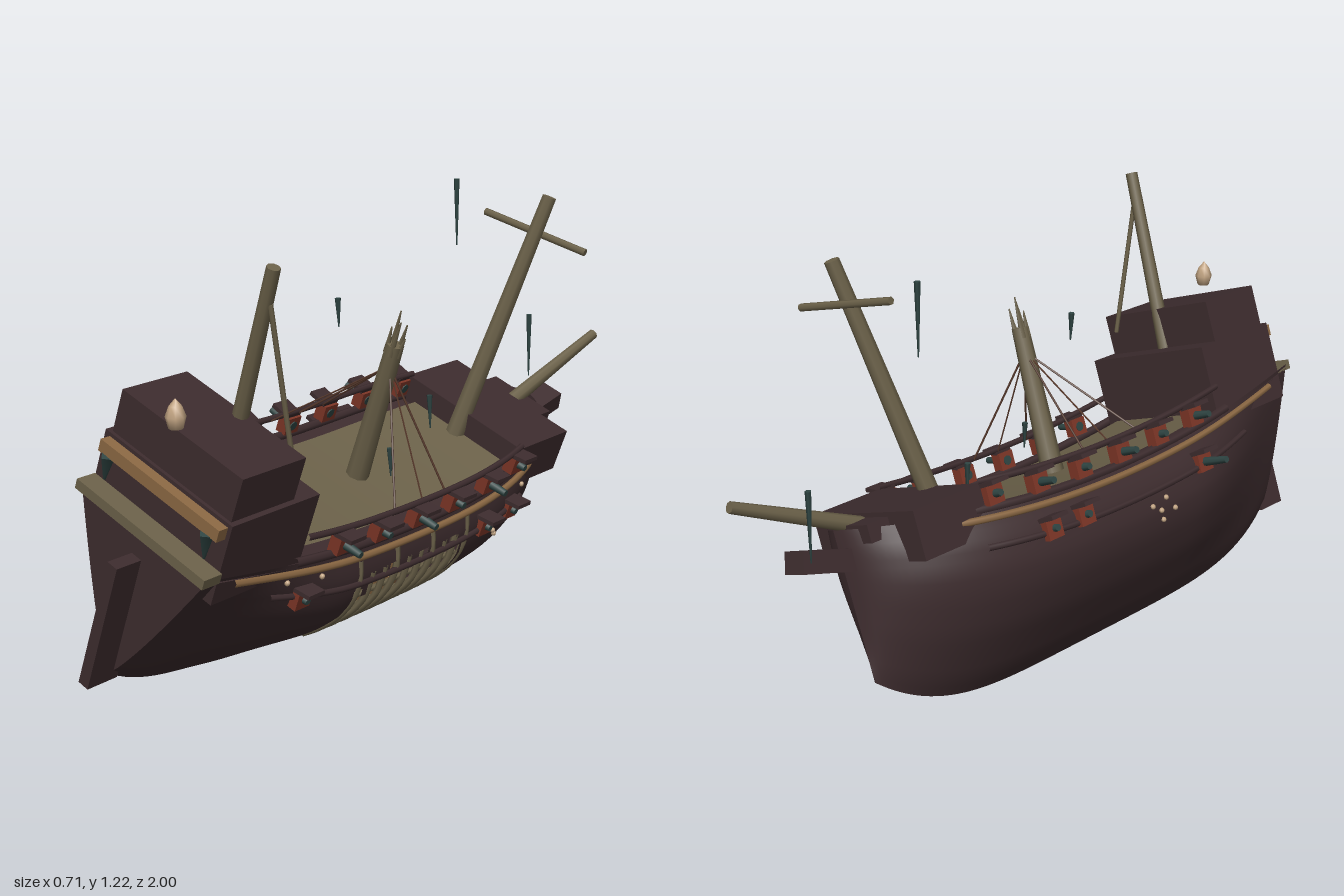
import * as THREE from 'three';

const mat = (name, color, extra = {}) => Object.assign(new THREE.MeshStandardMaterial({ color, ...extra }), { name });

export function createModel() {
  const dark = mat('dark hull wood', 0x3d2c2e);
  const hullMat = mat('dark hull planking', 0x3d2c2e, { side: THREE.DoubleSide });
  const olive = mat('weathered wood', 0x6b6149, { side: THREE.DoubleSide });
  const tan = mat('tan trim wood', 0x8b6843);
  const red = mat('red gunport', 0x7c3526);
  const teal = mat('tarnished bronze', 0x2f4543);
  const cream = mat('pale shell', 0xc4a684);
  const ropeMat = mat('rope', 0x5a3b2d);

  const root = new THREE.Group();
  root.name = 'wreckedShip';
  // the ship lies heeled over on its keel
  const ship = new THREE.Group();
  ship.name = 'heeledShip';
  ship.position.set(-0.145, 0, 0);
  ship.rotation.z = -0.35;
  root.add(ship);

  const V = (x, y, z) => new THREE.Vector3(x, y, z);
  function add(name, geo, material, parent = ship) {
    const m = new THREE.Mesh(geo, material);
    m.name = name;
    parent.add(m);
    return m;
  }
  function box(name, material, x, y, z, w, h, d, parent = ship) {
    const m = add(name, new THREE.BoxGeometry(w, h, d), material, parent);
    m.position.set(x, y, z);
    return m;
  }
  // tapered pole between two points
  function pole(name, material, a, b, r0, r1, sides = 8, parent = ship) {
    const dir = b.clone().sub(a);
    const m = add(name, new THREE.CylinderGeometry(r1, r0, dir.length(), sides), material, parent);
    m.position.copy(a).addScaledVector(dir, 0.5);
    m.quaternion.setFromUnitVectors(V(0, 1, 0), dir.normalize());
    return m;
  }
  // surface from rows of points; skip(i, j) leaves cells open
  function grid(rows, flip = false, skip = () => false) {
    const n = rows[0].length, idx = [];
    for (let i = 0; i < rows.length - 1; i++) for (let j = 0; j < n - 1; j++) {
      if (skip(i, j)) continue;
      const a = i * n + j, b = a + n, c = a + 1, d = b + 1;
      if (flip) idx.push(a, c, b, b, c, d);
      else idx.push(a, b, c, b, d, c);
    }
    const g = new THREE.BufferGeometry().setFromPoints(rows.flat());
    g.setIndex(idx);
    g.computeVertexNormals();
    return g;
  }

  // hull lines: keel height, sheer height and half breadth
  const zBow = -0.71, zStern = 0.92;
  const keel = z => z < 0 ? 0.16 * (z / zBow) ** 4 : 0.128 * (z / zStern) ** 5;
  const sheer = z => 0.5 + 0.08 * ((z - 0.1) / 0.8) ** 2;
  const profile = [[0, 0], [0.1, 0.065], [0.28, 0.156], [0.36, 0.195], [0.47, 0.235],
    [0.56, 0.263], [0.68, 0.285], [0.84, 0.283], [1, 0.25]];
  function midHalf(s) {
    let k = 1;
    while (k < profile.length - 1 && s > profile[k][0]) k++;
    const [a, b] = [profile[k - 1], profile[k]];
    return a[1] + (b[1] - a[1]) * (s - a[0]) / (b[0] - a[0]);
  }
  function half(z, s) {
    const e = THREE.MathUtils.smoothstep(z, 0.35, zStern);
    const d = Math.min(1, Math.max(0, (0.05 - z) / 0.76));
    return (midHalf(s) * (1 - e) + 0.235 * s ** 0.85 * e) * (1 - d ** 3) ** 0.6;
  }
  const onHull = (side, z, v, out = 0) => {
    const s = THREE.MathUtils.clamp((v - keel(z)) / (sheer(z) - keel(z)), 0, 1);
    return V(side * (half(z, s) + out), v, z);
  };

  // hull shell, with a ragged breach on the left side
  const NZ = 56, NV = 20, zs = [];
  for (let i = 0; i <= NZ; i++) zs.push(zBow + (zStern - zBow) * (i / NZ) ** 1.35);
  for (const side of [1, -1]) {
    const rows = zs.map(z => Array.from({ length: NV + 1 }, (_, j) => {
      const s = j / NV;
      return V(side * half(z, s), keel(z) + s * (sheer(z) - keel(z)), z);
    }));
    const breach = (i, j) => side > 0 && zs[i] > -0.13 && zs[i] < 0.35 &&
      j >= 8 - (i % 3 === 0 ? 1 : 0) && j < 16 + (i % 4 === 0 ? 1 : 0) - (zs[i] > 0.28 ? 2 : 0);
    add(side > 0 ? 'hullLeft' : 'hullRight', grid(rows, side > 0, breach), hullMat);
  }
  // transom
  const transom = Array.from({ length: 13 }, (_, j) => {
    const s = j / 12, y = keel(zStern) + s * (sheer(zStern) - keel(zStern));
    return [V(-half(zStern, s), y, zStern), V(half(zStern, s), y, zStern)];
  });
  add('transom', grid(transom, true), hullMat);

  // decks: dark waterway below, pale planking inset above
  const deckRows = (list, k, dy) => list.map(z => [-1, 1].map(q => V(q * k * half(z, 1), sheer(z) + dy, z)));
  add('waterway', grid(deckRows(zs, 1, -0.012), true), hullMat);
  const deckZ = Array.from({ length: 17 }, (_, i) => -0.38 + i * 0.059);
  add('mainDeck', grid(deckRows(deckZ, 0.77, 0.002), true), olive);

  // lengthwise rails and wales on both sides
  for (const side of [1, -1]) {
    const strake = (name, material, z0, z1, f, r) => {
      const pts = Array.from({ length: 18 }, (_, i) => f(z0 + (z1 - z0) * i / 17));
      add(name, new THREE.TubeGeometry(new THREE.CatmullRomCurve3(pts), 40, r, 6), material);
    };
    strake('tanWale', tan, -0.56, 0.82, z => onHull(side, z, sheer(z) - 0.025, 0.006), 0.01);
    strake('lowerWale', dark, -0.42, 0.66, z => onHull(side, z, sheer(z) - 0.1, 0.003), 0.009);
    strake('gunwale', dark, -0.6, 0.6, z => onHull(side, z, sheer(z), -0.004), 0.013);
    strake('capRail', dark, -0.38, 0.58, z => V(side * (half(z, 1) - 0.005), sheer(z) + 0.075, z), 0.009);
  }

  // gunports with lid and barrel
  function gunport(side, z, v, barrel) {
    const g = new THREE.Group();
    g.name = 'gunport';
    g.position.copy(onHull(side, z, v));
    g.scale.x = 1;
    ship.add(g);
    box('portBlock', red, 0, 0, 0, 0.035, 0.052, 0.055, g);
    const lid = box('portLid', dark, side * 0.02, 0.034, 0, 0.06, 0.012, 0.06, g);
    lid.rotation.z = side * 0.15;
    if (barrel) pole('cannon', teal, V(-side * 0.02, 0, 0), V(side * barrel, 0.004, 0), 0.015, 0.01, 8, g);
  }
  [0.44, 0.28, 0.12, -0.04, -0.2, -0.35].forEach((z, i) => {
    for (const side of [1, -1]) gunport(side, z, sheer(z) + 0.035, i % 2 ? 0.04 : 0.07);
  });
  for (const z of [0.56, -0.2, -0.35]) gunport(1, z, 0.42, 0.03);
  for (const z of [0.4, -0.1, -0.22]) gunport(-1, z, 0.42, z > 0 ? 0.1 : 0.03);

  // exposed ribs and spilled cargo in the breach
  for (let i = 0; i < 10; i++) {
    const z = -0.12 + i * 0.052, pts = [];
    for (let k = 0; k <= 6; k++) pts.push(onHull(1, z, 0.15 + k * (i % 3 ? 0.046 : 0.053), -0.003));
    add('rib', new THREE.TubeGeometry(new THREE.CatmullRomCurve3(pts), 12, 0.01, 5), olive);
  }
  for (const [z, y, t] of [[0.02, 0.23, 0.3], [0.12, 0.2, -0.2], [0.22, 0.24, 0.15], [0.0, 0.3, -0.3]]) {
    box('cargo', tan, 0.14, y, z, 0.08, 0.07, 0.07).rotation.set(t, t, 0);
  }
  for (const v of [0.26, 0.34]) pole('stringer', olive, onHull(1, -0.12, v, -0.02), onHull(1, 0.34, v, -0.02), 0.008, 0.008, 5);

  // stern castle with beams and brackets
  box('sternCastleLower', dark, 0, 0.61, 0.725, 0.46, 0.235, 0.31);
  box('sternCastleUpper', dark, 0, 0.785, 0.76, 0.43, 0.13, 0.22);
  box('sternBeam', olive, 0.003, 0.58, 0.91, 0.47, 0.028, 0.06);
  box('sternTrim', tan, 0.003, 0.7, 0.895, 0.43, 0.034, 0.03);
  for (const x of [-0.18, 0.18]) pole('sternBracket', teal, V(x * 1.02, 0.61, 0.895), V(x, 0.685, 0.905), 0.004, 0.022, 4);
  box('rudder', dark, 0, 0.31, 0.95, 0.035, 0.38, 0.1);

  // bow castle, beak and bowsprit
  box('bowCastle', dark, 0, 0.53, -0.49, 0.445, 0.135, 0.24);
  box('bowBulwark', dark, 0, 0.56, -0.64, 0.22, 0.05, 0.08);
  const beak = box('beak', dark, 0, 0.515, -0.76, 0.085, 0.06, 0.19);
  beak.rotation.x = 0.28;
  pole('bowsprit', olive, V(0, 0.55, -0.58), V(0, 0.735, -0.99), 0.025, 0.016);

  // masts
  pole('foreMast', olive, V(0, 0.5, -0.36), V(-0.055, 1.258, -0.53), 0.03, 0.021);
  pole('foreYard', olive, V(-0.235, 1.125, -0.515), V(0.105, 1.155, -0.55), 0.011, 0.011, 6);
  pole('sternMast', olive, V(0, 0.6, 0.65), V(0.003, 1.272, 0.697), 0.024, 0.018);
  pole('mainMast', olive, V(0, 0.49, 0.08), V(0, 0.93, 0.095), 0.034, 0.025);
  for (let i = 0; i < 5; i++) {
    const a = i * 1.257, x = Math.cos(a) * 0.017, z = 0.095 + Math.sin(a) * 0.017;
    pole('mastSplinter', olive, V(x, 0.9, z), V(x * 1.5, 0.96 + (i * 3 % 5) * 0.015, z), 0.01, 0.002, 5);
  }
  pole('leaningSpar', olive, V(0.275, 1.1, 0.69), V(0.275, 0.7, 0.62), 0.007, 0.007, 6, root);

  // shrouds of the main mast
  for (const side of [1, -1]) for (const z of [0, 0.1, 0.22]) {
    pole('shroud', ropeMat, V(0, 0.86, 0.09), V(side * 0.24, sheer(z) + 0.07, z), 0.003, 0.003, 4);
  }

  // hanging bronze shards
  for (const [x, y0, y1, z] of [[-0.1, 1.02, 1.22, -0.53], [-0.035, 0.89, 0.97, 0.09],
    [-0.06, 0.55, 0.75, -0.87], [0, 0.52, 0.62, -0.28], [0.16, 0.5, 0.58, 0.1]]) {
    pole('shard', teal, V(x + 0.004, y0, z), V(x, y1, z), 0.002, 0.009, 5, root);
  }

  // stern lantern
  const lantern = add('lantern', new THREE.LatheGeometry([[0, -0.035], [0.018, -0.03], [0.026, 0], [0.016, 0.026], [0, 0.045]]
    .map(p => new THREE.Vector2(...p)), 8), cream, root);
  lantern.position.set(0.16, 0.85, 0.9);

  // shell clusters on the planking
  for (const [side, z, v] of [[-1, 0.16, 0.36], [-1, 0.19, 0.34], [-1, 0.22, 0.37], [-1, 0.25, 0.33], [-1, 0.2, 0.31],
    [1, -0.28, 0.37], [1, -0.3, 0.35], [1, 0.5, 0.47], [1, 0.62, 0.48], [1, -0.42, 0.47], [1, -0.6, 0.48]]) {
    add('shell', new THREE.SphereGeometry(0.008, 6, 5), cream).position.copy(onHull(side, z, v, 0.003));
  }
  return root;
}
